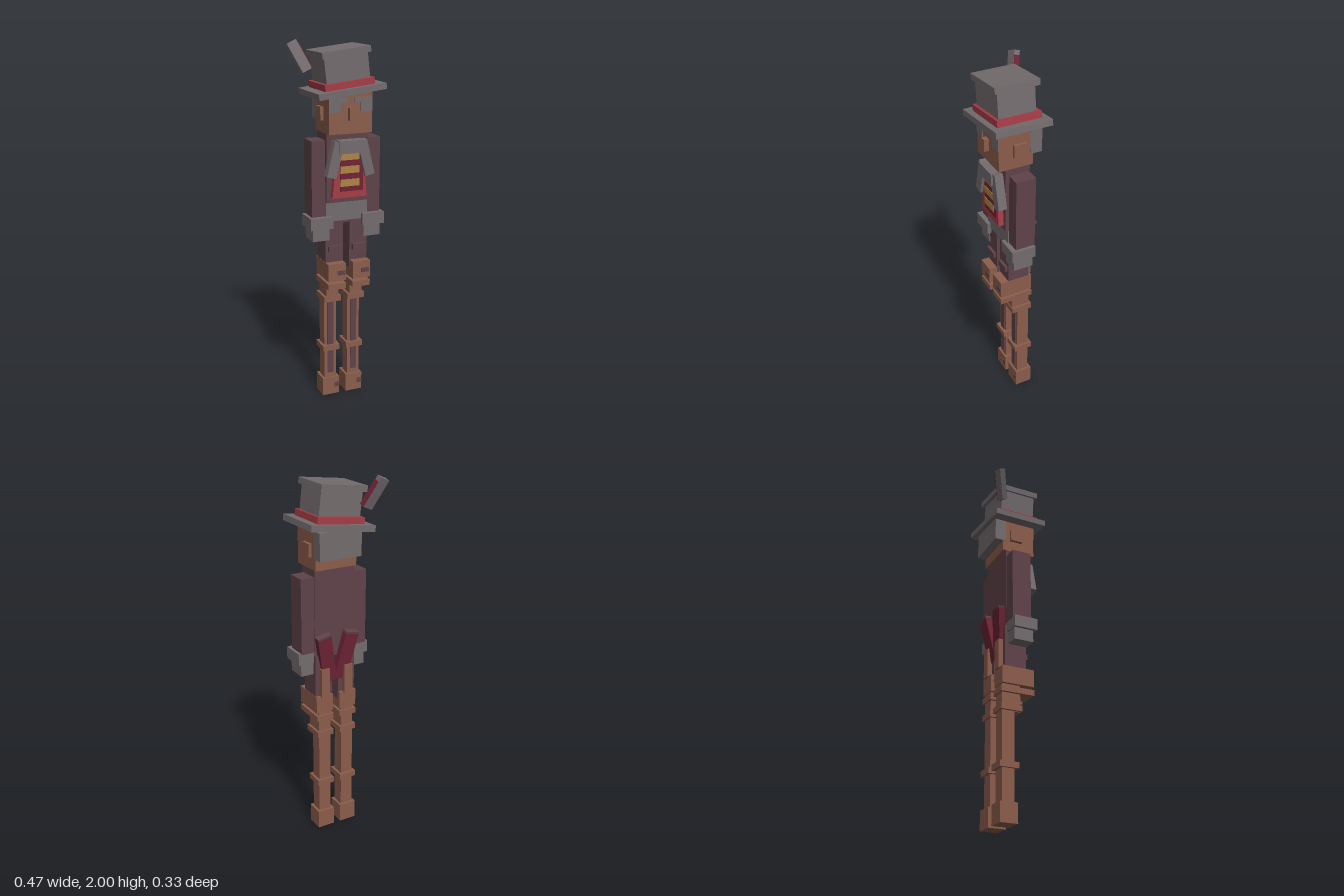
import * as THREE from 'three';

const mat = (name, color) => {
  const m = new THREE.MeshStandardMaterial({ color });
  m.name = name;
  return m;
};

export function createModel() {
  const grey = mat('grey felt', 0x746c6e);
  const maroon = mat('maroon cloth', 0x5f434a);
  const brown = mat('brown', 0x8b5d4c);
  const red = mat('red', 0xa63c46);
  const darkRed = mat('dark red', 0x702436);
  const ochre = mat('ochre', 0xb08446);

  const root = new THREE.Group();
  root.name = 'figure';
  const body = new THREE.Group();
  body.name = 'body';
  body.position.x = 0.024;
  root.add(body);

  // Box from its limits: x, y and z ranges
  function box(parent, name, m, x0, x1, y0, y1, z0, z1) {
    const mesh = new THREE.Mesh(new THREE.BoxGeometry(x1 - x0, y1 - y0, z1 - z0), m);
    mesh.position.set((x0 + x1) / 2, (y0 + y1) / 2, (z0 + z1) / 2);
    mesh.name = name;
    parent.add(mesh);
    return mesh;
  }
  // Box with equal half width around x = 0
  const mid = (parent, name, m, w, y0, y1, z0, z1) =>
    box(parent, name, m, -w, w, y0, y1, z0, z1);
  // Box on both sides of the body
  const pair = (name, m, x0, x1, ...yz) => {
    box(body, name + 'Left', m, x0, x1, ...yz);
    box(body, name + 'Right', m, -x1, -x0, ...yz);
  };

  // Head, hair and face
  mid(body, 'head', brown, 0.12, 1.53, 1.745, -0.072, 0.118);
  mid(body, 'backHair', grey, 0.122, 1.59, 1.735, -0.12, -0.055);
  pair('ear', brown, 0.115, 0.137, 1.595, 1.665, -0.03, 0.04);
  mid(body, 'nose', brown, 0.016, 1.6, 1.665, 0.115, 0.146);
  pair('eyePatch', grey, 0.055, 0.12, 1.643, 1.715, 0.117, 0.122);
  pair('brow', grey, 0.018, 0.055, 1.69, 1.715, 0.117, 0.122);

  // Top hat, tilted to one side
  const hat = new THREE.Group();
  hat.name = 'hat';
  hat.position.set(0.02, 1.75, 0.009);
  hat.rotation.z = 0.115;
  root.add(hat);
  mid(hat, 'brim', grey, 0.186, -0.016, 0.016, -0.153, 0.153);
  mid(hat, 'hatBand', red, 0.137, 0.016, 0.05, -0.12, 0.12);
  mid(hat, 'crown', grey, 0.12, 0.03, 0.185, -0.098, 0.104);
  mid(hat, 'crownTop', grey, 0.133, 0.178, 0.21, -0.12, 0.12);

  // Plume leaning back and outward
  const plume = new THREE.Group();
  plume.name = 'plume';
  plume.position.set(-0.17, 1.907, -0.121);
  plume.rotation.set(-0.32, 0, 0.42);
  root.add(plume);
  mid(plume, 'plumeBlade', grey, 0.029, -0.085, 0.085, -0.016, 0.016);
  box(plume, 'plumeEdge', darkRed, 0.029, 0.034, -0.085, 0.06, -0.015, 0.015);

  // Torso and waist
  mid(body, 'jacket', maroon, 0.119, 1.16, 1.53, -0.055, 0.08);
  mid(body, 'hips', maroon, 0.117, 1.04, 1.165, -0.05, 0.06);
  mid(body, 'shirtTail', grey, 0.119, 1.055, 1.165, 0.055, 0.068);

  // Flared waistcoat front with stripes
  const vestShape = new THREE.Shape([
    [-0.098, 1.19], [0.098, 1.19], [0.068, 1.49], [-0.068, 1.49],
  ].map(([x, y]) => new THREE.Vector2(x, y)));
  const vest = new THREE.Mesh(
    new THREE.ExtrudeGeometry(vestShape, { depth: 0.035, bevelEnabled: false }), red);
  vest.name = 'waistcoat';
  vest.position.z = 0.075;
  body.add(vest);
  box(body, 'waistcoatPanel', darkRed, -0.055, 0.075, 1.225, 1.43, 0.109, 0.113);
  for (let i = 0; i < 3; i++) {
    const y = 1.252 + i * 0.07;
    box(body, 'stripe' + (i + 1), ochre, -0.055, 0.053, y, y + 0.038, 0.11, 0.116);
  }

  // Collar and slanted lapels
  mid(body, 'collar', grey, 0.07, 1.43, 1.497, 0.08, 0.138);
  for (const s of [-1, 1]) {
    const lapel = mid(body, s > 0 ? 'lapelLeft' : 'lapelRight', grey, 0.027, 0, 0.19, 0.08, 0.127);
    lapel.position.x = s * 0.086;
    lapel.position.y = 1.398;
    lapel.rotation.z = s * 0.24;
  }

  // Arms, cuffs and gloves
  pair('arm', maroon, 0.118, 0.195, 1.08, 1.493, -0.05, 0.06);
  pair('cuff', grey, 0.085, 0.212, 1.02, 1.085, -0.047, 0.088);
  pair('glove', grey, 0.1, 0.195, 0.952, 1.02, -0.04, 0.07);

  // Coat tails forming a V behind the legs
  for (const s of [-1, 1]) {
    const tail = new THREE.Group();
    tail.name = s > 0 ? 'coatTailLeft' : 'coatTailRight';
    tail.position.set(s * 0.058, 1.04, -0.066);
    tail.rotation.set(-0.13, 0, -s * 0.2);
    body.add(tail);
    mid(tail, 'tail', darkRed, 0.04, -0.14, 0.13, -0.018, 0.018);
    mid(tail, 'tailTop', maroon, 0.04, 0.13, 0.142, -0.018, 0.018);
  }

  // Legs: thighs, pockets, boots and rings
  pair('thigh', maroon, 0.018, 0.12, 0.78, 1.06, -0.06, 0.064);
  pair('pocket', maroon, 0.032, 0.107, 0.885, 0.918, 0.06, 0.08);
  pair('rearStrap', brown, 0.045, 0.095, 0.82, 0.985, -0.086, -0.055);
  pair('bootTop', brown, 0.02, 0.122, 0.728, 0.825, -0.075, 0.11);
  pair('kneePlate', brown, 0.019, 0.122, 0.68, 0.712, -0.08, 0.11);
  pair('upperShin', brown, 0.034, 0.106, 0.58, 0.73, -0.07, 0.035);
  pair('shinRing', brown, 0.02, 0.12, 0.583, 0.615, -0.08, 0.04);
  pair('shin', brown, 0.034, 0.106, 0.1, 0.6, -0.07, 0);
  pair('shinInset', maroon, 0.052, 0.088, 0.135, 0.583, -0.002, 0.006);
  pair('ankleRing', brown, 0.02, 0.12, 0.278, 0.31, -0.086, 0.02);
  pair('foot', brown, 0.02, 0.12, 0, 0.105, -0.086, 0.012);

  // Worn patches on the boots, on the same side of each leg
  for (const x of [-0.07, 0.07]) {
    box(body, 'toePatch', maroon, x + 0.02, x + 0.05, 0.042, 0.07, 0.011, 0.015);
    box(body, 'bootPatch', maroon, x + 0.0, x + 0.045, 0.76, 0.785, 0.109, 0.113);
  }

  return root;
}
